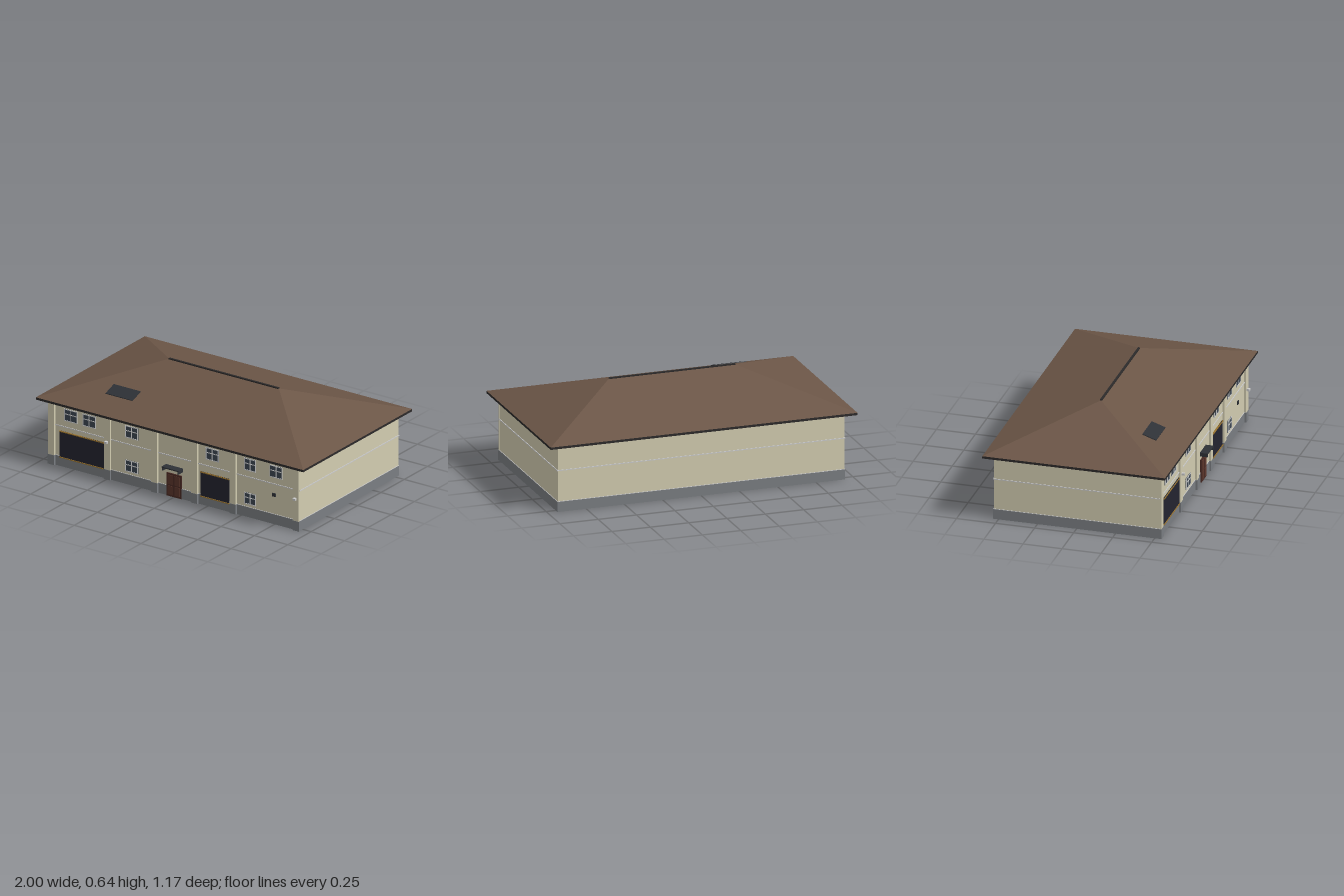
import * as THREE from 'three';

const paint = (color) => new THREE.MeshStandardMaterial({ color });

export function createModel() {
  const house = new THREE.Group();
  house.name = 'house';
  const mat = {
    wall: paint(0xd2ccb0), plinth: paint(0x7a7e82), trim: paint(0xc4c8c8),
    roof: paint(0x6b5546), eave: paint(0x2c2a2a), glass: paint(0x3c4652),
    frame: paint(0xd6d8d8), shutter: paint(0x23242f), gold: paint(0x9a7430),
    door: paint(0x4a2a24), panel: paint(0x5c362c), dark: paint(0x2e3136),
  };

  // Box given by its limits on each axis
  function box(name, material, [x0, x1], [y0, y1], [z0, z1], parent = house) {
    const mesh = new THREE.Mesh(new THREE.BoxGeometry(x1 - x0, y1 - y0, z1 - z0), material);
    mesh.position.set((x0 + x1) / 2, (y0 + y1) / 2, (z0 + z1) / 2);
    mesh.name = name;
    parent.add(mesh);
    return mesh;
  }
  function group(name) {
    const g = new THREE.Group();
    g.name = name;
    house.add(g);
    return g;
  }

  const W = 0.935, D = 0.53, EAVE = 0.425, RX = 1, RZ = 0.585, RIDGE = 0.41, TOP = 0.638, FOOT = 0.44;

  // Body: walls, plinth and thin bands running all the way round
  box('walls', mat.wall, [-W, W], [0.065, EAVE], [-D, D]);
  box('plinth', mat.plinth, [-W - 0.003, W + 0.003], [0, 0.065], [-D - 0.003, D + 0.003]);
  box('plinthCap', mat.trim, [-W - 0.003, W + 0.003], [0.065, 0.068], [-D - 0.003, D + 0.003]);
  box('stringCourse', mat.trim, [-W - 0.004, W + 0.004], [0.264, 0.27], [-D - 0.004, D + 0.004]);

  // Front pilasters with grey feet
  for (const x of [-0.915, -0.497, -0.144, 0.155, 0.443, 0.915]) {
    const g = group('pilaster');
    box('pilasterShaft', mat.wall, [x - 0.022, x + 0.022], [0.065, EAVE], [D, 0.543], g);
    box('pilasterFoot', mat.plinth, [x - 0.024, x + 0.024], [0, 0.065], [D, 0.545], g);
  }

  // Windows: glass, frame and a cross of glazing bars
  function windowAt(x, y0, y1, w) {
    const g = group('window');
    const l = x - w / 2, r = x + w / 2, t = 0.005, bar = y0 + (y1 - y0) * 0.55;
    box('glass', mat.glass, [l, r], [y0, y1], [D, D + 0.003], g);
    for (const a of [l, x - t / 2, r - t]) box('upright', mat.frame, [a, a + t], [y0, y1], [D, D + 0.006], g);
    for (const b of [y0, bar, y1 - t]) box('crossbar', mat.frame, [l, r], [b, b + t], [D, D + 0.0055], g);
  }
  for (const [x, w] of [[-0.774, 0.096], [-0.636, 0.096], [-0.32, 0.096], [0.282, 0.096], [0.567, 0.086], [0.76, 0.096]])
    windowAt(x, 0.31, 0.39, w);
  windowAt(-0.32, 0.085, 0.162, 0.096);
  windowAt(0.567, 0.085, 0.162, 0.086);

  // Wide dark shop fronts with gold strips above and below
  for (const [x0, x1, y0, y1] of [[-0.856, -0.526, 0.058, 0.236], [0.198, 0.41, 0.053, 0.22]]) {
    const g = group('shopFront');
    box('pane', mat.shutter, [x0, x1], [y0, y1], [D, D + 0.006], g);
    for (const y of [y0, y1 - 0.006]) box('strip', mat.gold, [x0 - 0.002, x1 + 0.002], [y, y + 0.006], [D, D + 0.01], g);
  }

  // Double entrance door with raised panels
  const door = group('entranceDoor');
  box('doorFrame', mat.door, [-0.055, 0.055], [0, 0.153], [D, D + 0.008], door);
  for (const side of [-1, 1])
    for (const [y0, y1] of [[0.012, 0.07], [0.08, 0.142]]) {
      const c = side * 0.025;
      box('doorPanel', mat.panel, [c - 0.019, c + 0.019], [y0, y1], [D, D + 0.011], door);
    }

  // Canopy slab on two brackets
  const canopy = group('canopy');
  box('canopySlab', mat.dark, [-0.064, 0.064], [0.197, 0.204], [D, 0.581], canopy);
  for (const x of [-0.058, 0.058]) box('canopyBracket', mat.dark, [x - 0.003, x + 0.003], [0.178, 0.197], [D, 0.579], canopy);

  // Small wall fittings
  for (const [x, y] of [[-0.497, 0.25], [0.912, 0.213]])
    box('wallLamp', mat.frame, [x - 0.009, x + 0.009], [y - 0.007, y + 0.007], [0.54, 0.562]);
  box('wallVent', mat.dark, [0.734, 0.758], [0.185, 0.206], [D, D + 0.008]);

  // Hipped roof on a dark eave slab
  box('eave', mat.eave, [-RX, RX], [EAVE, FOOT], [-RZ, RZ]);
  const roofGeometry = new THREE.BufferGeometry();
  roofGeometry.setAttribute('position', new THREE.Float32BufferAttribute([
    -RX, FOOT, RZ, RX, FOOT, RZ, RX, FOOT, -RZ, -RX, FOOT, -RZ,
    -RIDGE, TOP, 0, RIDGE, TOP, 0,
  ], 3));
  roofGeometry.setIndex([0, 1, 5, 0, 5, 4, 1, 2, 5, 2, 3, 4, 2, 4, 5, 3, 0, 4]);
  const flatRoof = roofGeometry.toNonIndexed();
  flatRoof.computeVertexNormals();
  const roof = new THREE.Mesh(flatRoof, mat.roof);
  roof.name = 'roof';
  house.add(roof);
  box('ridgeCap', mat.eave, [-RIDGE, RIDGE], [TOP - 0.006, 0.643], [-0.007, 0.007]);

  // Skylight lying on the front slope
  const pitch = Math.atan2(TOP - FOOT, RZ), z = 0.365;
  const skylight = box('skylight', mat.dark, [-0.6, -0.4], [-0.004, 0.004], [-0.047, 0.047]);
  skylight.position.set(-0.5, TOP - z * Math.tan(pitch) + 0.001, z);
  skylight.rotation.x = pitch;

  return house;
}
